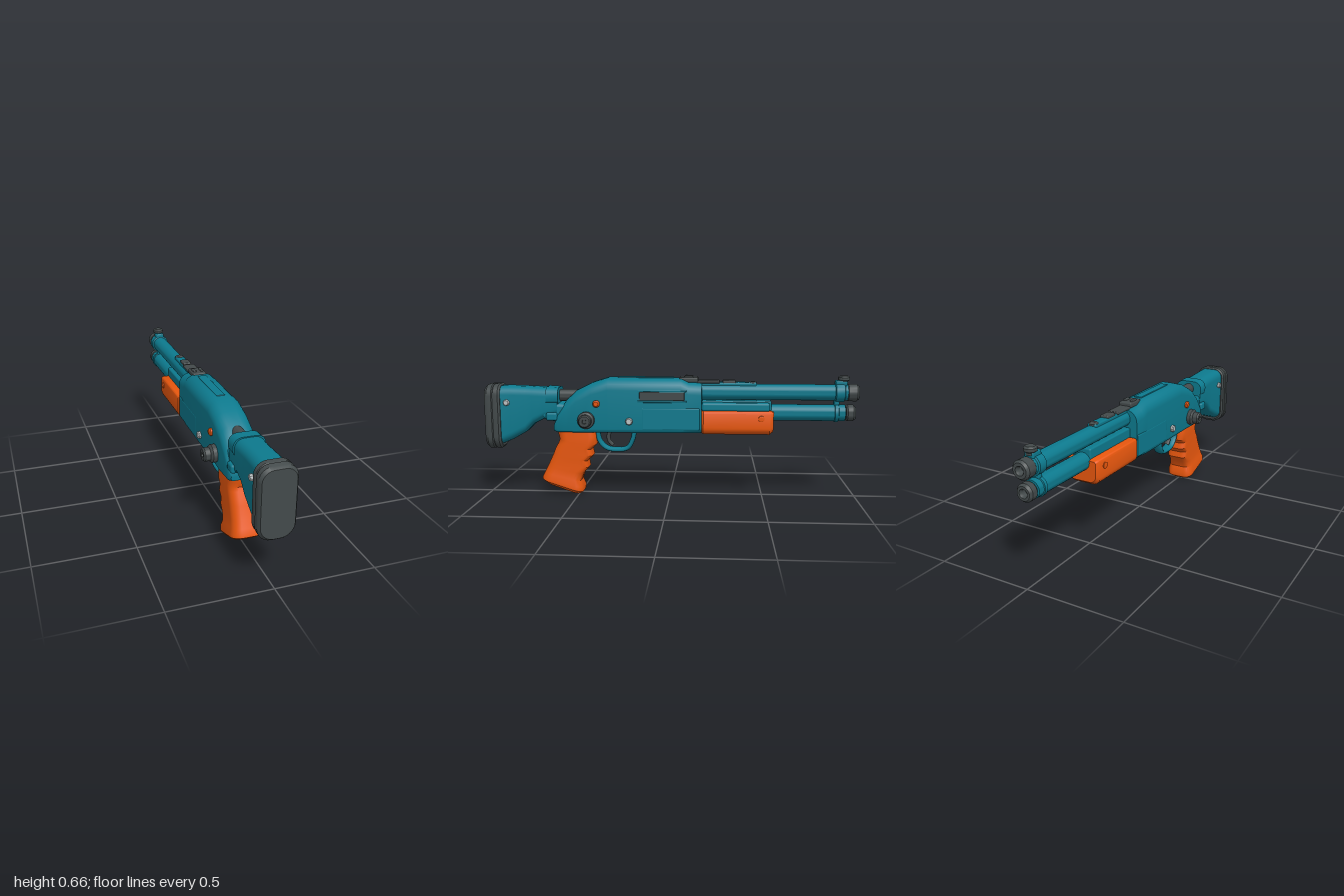
import * as THREE from 'three';
import { toCreasedNormals } from 'three/addons/utils/BufferGeometryUtils.js';
import { RoundedBoxGeometry } from 'three/addons/geometries/RoundedBoxGeometry.js';

const paint = (name, color) => {
  const m = new THREE.MeshStandardMaterial({ color });
  m.name = name;
  return m;
};

// Skin through rounded sections. Each: [az, ay, bz, by, halfWidth, cornerA, cornerB]
function loft(sections) {
  const steps = 6, n = 4 * (steps + 1), pos = [], idx = [];
  for (const [az, ay, bz, by, w, ra, rb] of sections) {
    const len = Math.hypot(bz - az, by - ay), dz = (bz - az) / len, dy = (by - ay) / len;
    const corners = [[1, 1, rb], [-1, 1, rb], [-1, 0, ra], [1, 0, ra]];
    corners.forEach(([sx, end, r], q) => {
      const rx = Math.min(r, w * 0.95), rt = Math.min(r, len * 0.49);
      for (let i = 0; i <= steps; i++) {
        const a = (q + i / steps) * Math.PI / 2;
        const x = sx * (w - rx) + rx * Math.cos(a);
        const t = (end ? len - rt : rt) + rt * Math.sin(a);
        pos.push(x, ay + dy * t, az + dz * t);
      }
    });
  }
  const last = sections.length - 1;
  for (let s = 0; s < last; s++) for (let i = 0; i < n; i++) {
    const a = s * n + i, b = s * n + (i + 1) % n;
    idx.push(a, b, b + n, a, b + n, a + n);
  }
  for (const s of [0, last]) {
    const [az, ay, bz, by] = sections[s], c = pos.length / 3;
    pos.push(0, (ay + by) / 2, (az + bz) / 2);
    for (let i = 0; i < n; i++) {
      const a = s * n + i, b = s * n + (i + 1) % n;
      s ? idx.push(c, a, b) : idx.push(c, b, a);
    }
  }
  // turn the faces outward whichever way the sections run
  let volume = 0;
  const v = i => new THREE.Vector3().fromArray(pos, idx[i] * 3);
  for (let i = 0; i < idx.length; i += 3) volume += v(i).dot(v(i + 1).cross(v(i + 2)));
  if (volume < 0) idx.reverse();
  const g = new THREE.BufferGeometry();
  g.setAttribute('position', new THREE.Float32BufferAttribute(pos, 3));
  g.setIndex(idx);
  return toCreasedNormals(g, 0.6);
}

// Turned part, profile as [radius, height] from the base upward
const turned = (profile, seg = 28) =>
  toCreasedNormals(new THREE.LatheGeometry(profile.map(p => new THREE.Vector2(...p)), seg), 0.6);

export function createModel() {
  const model = new THREE.Group();
  const teal = paint('teal', 0x0d7a8e), orange = paint('orange', 0xe8570e);
  const dark = paint('charcoal', 0x434a4b), silver = paint('silver', 0xbfc4c5);

  const add = (name, geometry, material, x = 0, y = 0, z = 0) => {
    const m = new THREE.Mesh(geometry, material);
    m.name = name;
    m.position.set(x, y, z);
    model.add(m);
    return m;
  };
  const box = (name, mat, w, h, d, x, y, z, r = 0.008) =>
    add(name, new RoundedBoxGeometry(w, h, d, 2, r), mat, x, y, z);
  // turned part lying along the barrel; heights are distances toward -z
  const along = (name, mat, profile, y, z) =>
    add(name, turned(profile).rotateX(-Math.PI / 2), mat, 0, y, z);
  // mirrored pair of turned parts sticking out sideways
  const pair = (name, mat, profile, x, y, z, seg) => {
    for (const s of [1, -1]) {
      add(name, turned(profile, seg).rotateZ(-s * Math.PI / 2), mat, s * x, y, z);
    }
  };
  const upright = rows => loft(rows.map(([z, y0, y1, w, r0, r1]) => [z, y0, z, y1, w, r0, r1]));

  // receiver with sloped back and shouldered top
  add('receiver', upright([
    [0.625, 0.355, 0.395, 0.07, 0.012, 0.018], [0.605, 0.35, 0.45, 0.082, 0.015, 0.04],
    [0.56, 0.35, 0.52, 0.085, 0.015, 0.055], [0.5, 0.35, 0.575, 0.087, 0.015, 0.06],
    [0.42, 0.35, 0.615, 0.087, 0.02, 0.06], [0.33, 0.35, 0.643, 0.087, 0.02, 0.062],
    [-0.06, 0.35, 0.64, 0.087, 0.025, 0.062], [-0.1, 0.35, 0.62, 0.085, 0.03, 0.06],
    [-0.17, 0.352, 0.615, 0.082, 0.03, 0.06],
  ]), teal);
  box('lowerPanel', teal, 0.176, 0.12, 0.31, 0, 0.428, -0.005);
  box('ejectionPort', dark, 0.012, 0.046, 0.24, 0.083, 0.55, 0.04, 0.004);
  box('portLowerLip', teal, 0.016, 0.012, 0.26, 0.084, 0.522, 0.04, 0.004);
  box('portUpperLip', teal, 0.016, 0.01, 0.26, 0.08, 0.578, 0.04, 0.004);
  box('topRidge', teal, 0.045, 0.012, 0.3, 0, 0.64, 0.13, 0.004);

  // shoulder stock, its link and rubber pad
  add('stock', upright([
    [0.925, 0.275, 0.595, 0.075, 0.045, 0.045], [0.86, 0.302, 0.594, 0.072, 0.045, 0.045],
    [0.785, 0.345, 0.592, 0.07, 0.04, 0.045], [0.74, 0.39, 0.59, 0.07, 0.04, 0.045],
    [0.68, 0.42, 0.588, 0.073, 0.04, 0.045], [0.605, 0.44, 0.583, 0.073, 0.035, 0.045],
  ]), teal);
  add('stockCollar', upright([
    [0.665, 0.5, 0.592, 0.08, 0.03, 0.045], [0.6, 0.5, 0.588, 0.08, 0.03, 0.045],
  ]), teal);
  add('stockLink', upright([
    [0.68, 0.42, 0.51, 0.07, 0.02, 0.02], [0.6, 0.4, 0.505, 0.07, 0.02, 0.02],
    [0.54, 0.39, 0.5, 0.07, 0.02, 0.02],
  ]), teal);
  box('linkHinge', teal, 0.174, 0.045, 0.06, 0, 0.435, 0.635, 0.012);
  add('buttPad', upright([
    [0.915, 0.265, 0.597, 0.08, 0.06, 0.05], [0.925, 0.252, 0.605, 0.089, 0.07, 0.06],
    [0.95, 0.252, 0.605, 0.089, 0.07, 0.06], [0.955, 0.256, 0.602, 0.086, 0.07, 0.06],
    [0.96, 0.25, 0.605, 0.09, 0.07, 0.06], [0.985, 0.25, 0.603, 0.09, 0.07, 0.06],
    [1.0, 0.262, 0.592, 0.08, 0.065, 0.055],
  ]), dark);
  along('bufferTube', dark, [[0, 0], [0.032, 0], [0.032, 0.15], [0, 0.15]], 0.543, 0.61);

  // pistol grip with finger grooves: front edge, back edge, half width
  add('grip', loft([
    [0.41, 0.365, 0.615, 0.365, 0.062, 0.04, 0.05], [0.402, 0.32, 0.612, 0.33, 0.064, 0.04, 0.05],
    [0.405, 0.275, 0.605, 0.305, 0.066, 0.04, 0.05], [0.43, 0.25, 0.613, 0.285, 0.066, 0.04, 0.05],
    [0.422, 0.215, 0.63, 0.255, 0.067, 0.04, 0.05], [0.452, 0.185, 0.642, 0.225, 0.067, 0.04, 0.05],
    [0.446, 0.15, 0.658, 0.19, 0.068, 0.04, 0.05], [0.476, 0.115, 0.672, 0.16, 0.069, 0.04, 0.05],
    [0.49, 0.075, 0.69, 0.125, 0.073, 0.04, 0.05], [0.476, 0.04, 0.703, 0.1, 0.08, 0.045, 0.055],
    [0.478, 0.014, 0.706, 0.087, 0.08, 0.045, 0.055], [0.495, 0.002, 0.685, 0.068, 0.068, 0.04, 0.05],
  ]), orange);

  // trigger and guard
  const curve = pts => new THREE.CatmullRomCurve3(pts.map(([z, y]) => new THREE.Vector3(0, y, z)));
  const guard = curve([[0.4, 0.36], [0.388, 0.295], [0.35, 0.255], [0.29, 0.245],
    [0.235, 0.255], [0.207, 0.3], [0.195, 0.36]]);
  add('triggerGuard', new THREE.TubeGeometry(guard, 40, 0.013, 10), teal).scale.x = 2.3;
  const lever = curve([[0.325, 0.36], [0.34, 0.32], [0.335, 0.29], [0.315, 0.27]]);
  add('trigger', new THREE.TubeGeometry(lever, 16, 0.011, 8), dark).scale.x = 1.5;

  // side knobs, pins and screws
  pair('sideKnob', dark, [[0.045, 0], [0.045, 0.026], [0.039, 0.034], [0.034, 0.036],
    [0.034, 0.062], [0.028, 0.07], [0.012, 0.07], [0.01, 0.064], [0, 0.064]], 0.082, 0.42, 0.445);
  pair('sidePin', orange, [[0.019, 0], [0.019, 0.014], [0.012, 0.02], [0, 0.02]], 0.082, 0.508, 0.39);
  const screw = [[0.02, 0], [0.02, 0.012], [0.015, 0.018], [0, 0.018]];
  pair('receiverScrew', silver, screw, 0.085, 0.415, 0.215, 8);
  pair('stockScrew', silver, screw.map(([r, h]) => [r * 0.85, h]), 0.069, 0.508, 0.88, 8);

  // barrel, magazine tube and their dark caps
  along('barrel', teal, [[0, 0], [0.043, 0], [0.043, 0.86], [0, 0.86]], 0.568, -0.08);
  along('magazineTube', teal, [[0, 0], [0.044, 0], [0.044, 0.79], [0, 0.79]], 0.459, -0.14);
  const cap = (r, d) => [[0, 0], [r - 0.006, 0], [r, 0.008], [r, d - 0.012], [r - 0.01, d],
    [0.022, d], [0.016, d - 0.012], [0.016, d - 0.035], [0, d - 0.035]];
  along('muzzleCap', dark, cap(0.046, 0.064), 0.568, -0.936);
  along('magazineCap', dark, cap(0.044, 0.05), 0.459, -0.935);
  along('muzzleBand', teal, [[0.04, 0], [0.051, 0.006], [0.051, 0.05], [0.04, 0.056]], 0.568, -0.872);
  box('barrelBracket', teal, 0.04, 0.11, 0.028, 0, 0.513, -0.885);
  along('magazineBand', teal, [[0.04, 0], [0.049, 0.004], [0.049, 0.022], [0.04, 0.026]], 0.459, -0.872);

  // sliding fore-end with the rail above it
  add('foreEnd', upright([
    [-0.168, 0.353, 0.47, 0.08, 0.035, 0.012], [-0.18, 0.345, 0.475, 0.089, 0.04, 0.015],
    [-0.53, 0.345, 0.475, 0.089, 0.04, 0.015], [-0.55, 0.36, 0.468, 0.078, 0.035, 0.012],
  ]), orange);
  pair('foreEndStud', orange, [[0.016, 0], [0.016, 0.01], [0.01, 0.014], [0, 0.014]], 0.084, 0.435, -0.485);
  box('foreEndRail', teal, 0.09, 0.055, 0.37, 0, 0.497, -0.355);
  box('sideRail', teal, 0.08, 0.045, 0.36, 0.044, 0.494, -0.35, 0.012);

  // sights along the top
  box('topRib', teal, 0.05, 0.024, 0.36, 0, 0.608, -0.28);
  box('rearSightBase', dark, 0.074, 0.028, 0.1, 0, 0.633, -0.1);
  for (const s of [1, -1]) box('rearSightEar', dark, 0.018, 0.026, 0.045, s * 0.02, 0.642, -0.1, 0.005);
  box('rearSightLeaf', dark, 0.064, 0.014, 0.12, 0, 0.622, -0.205, 0.005);
  box('rearSightTail', dark, 0.046, 0.02, 0.07, 0, 0.621, -0.315, 0.006);
  add('ribButton', turned([[0.024, 0], [0.024, 0.012], [0.016, 0.018], [0, 0.018]]), dark, 0, 0.607, -0.44);
  box('frontSightBase', teal, 0.05, 0.03, 0.06, 0, 0.617, -0.905);
  add('frontSight', turned([[0.022, 0], [0.022, 0.012], [0.03, 0.018], [0.03, 0.032],
    [0.022, 0.04], [0, 0.04]]), dark, 0, 0.617, -0.92);

  return model;
}
